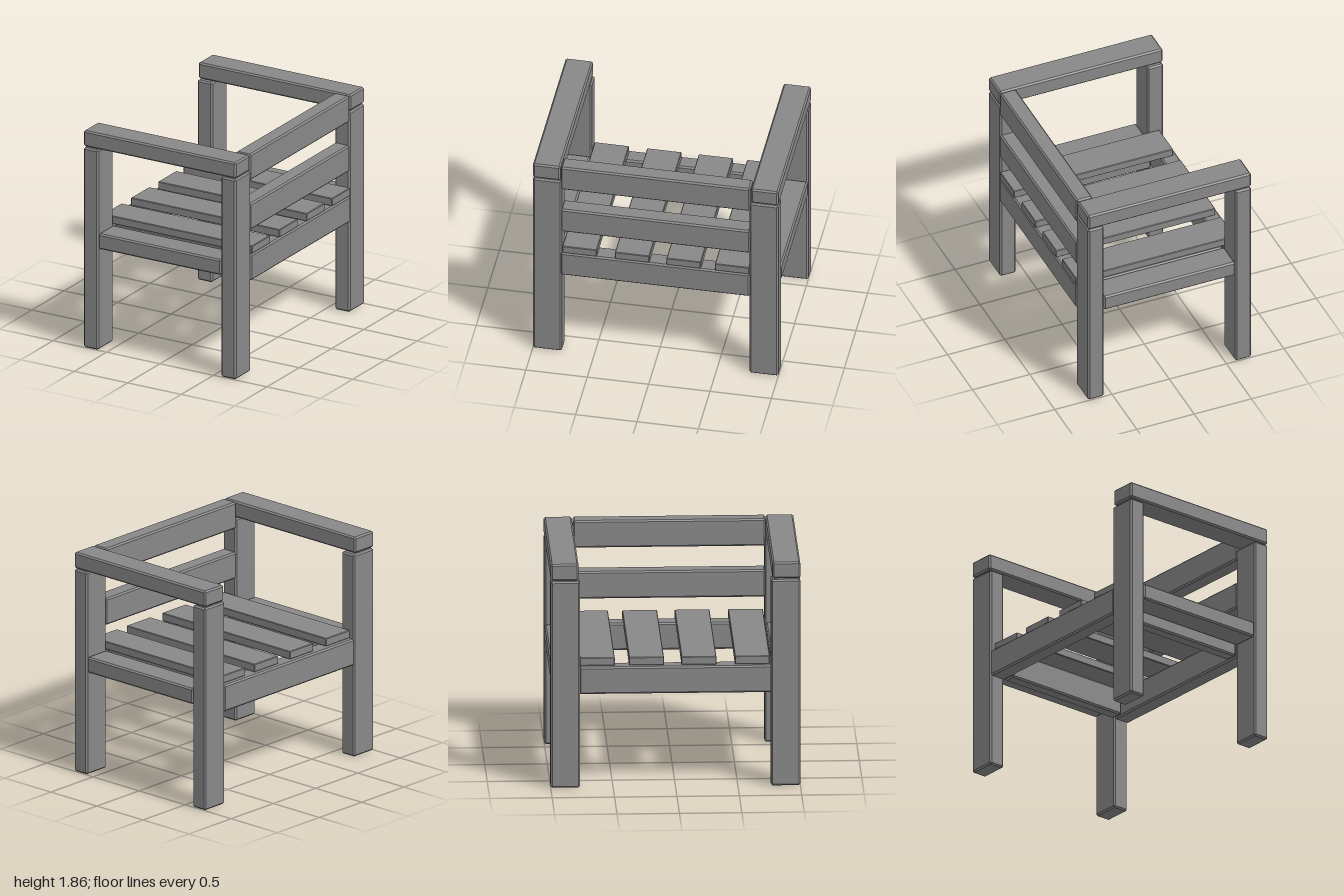
import * as THREE from 'three';
import { ConvexGeometry } from 'three/addons/geometries/ConvexGeometry.js';

const material = new THREE.MeshStandardMaterial({ color: 0x888888, flatShading: true });

// A timber with chamfered edges, given by its extent along each axis
function timber(name, [x0, x1], [y0, y1], [z0, z1], bevel = 0.013) {
  const half = [(x1 - x0) / 2, (y1 - y0) / 2, (z1 - z0) / 2];
  const points = [];
  for (let corner = 0; corner < 8; corner++) {
    // Three points per corner, each lying on one of the faces that meet there
    for (let face = 0; face < 3; face++) {
      const p = half.map((h, axis) => (corner & (1 << axis) ? 1 : -1) * (axis === face ? h : h - bevel));
      points.push(new THREE.Vector3(...p));
    }
  }
  const mesh = new THREE.Mesh(new ConvexGeometry(points), material);
  mesh.name = name;
  mesh.position.set((x0 + x1) / 2, (y0 + y1) / 2, (z0 + z1) / 2);
  return mesh;
}

export function createModel() {
  const chair = new THREE.Group();
  chair.name = 'armchair';

  const openSide = [-0.717, -0.579];
  const backSide = [0.569, 0.707];
  const between = [-0.77, 0.773];

  // Posts, armrests and side rails, mirrored in z
  for (const side of [1, -1]) {
    const span = (a, b) => (side > 0 ? [a, b] : [-b, -a]);
    chair.add(
      timber('openSidePost', openSide, [0, 1.713], span(0.764, 1)),
      timber('backSidePost', backSide, [0, 1.715], span(0.764, 1)),
      timber('armrest', [-0.717, 0.707], [1.722, 1.858], span(0.776, 1)),
      timber('sideRail', [-0.579, 0.569], [0.867, 1], span(0.774, 0.998)),
      timber('seatSupport', [-0.566, 0.562], [0.776, 0.998], span(0.665, 0.772))
    );
  }

  // Seat frame ends
  chair.add(
    timber('openSideRail', [-0.714, -0.575], [0.776, 1], between),
    timber('lowerBackRail', [0.573, 0.714], [0.776, 1], between)
  );

  // Backrest boards
  for (const y of [1.208, 1.632]) {
    chair.add(timber('backrestBoard', [0.569, 0.707], [y, y + 0.225], between));
  }

  // Seat slats
  for (const z of [0.617, 0.189, -0.231, -0.625]) {
    chair.add(timber('seatSlat', [-0.677, 0.714], [1.003, 1.07], [z - 0.14, z + 0.14], 0.005));
  }

  return chair;
}
